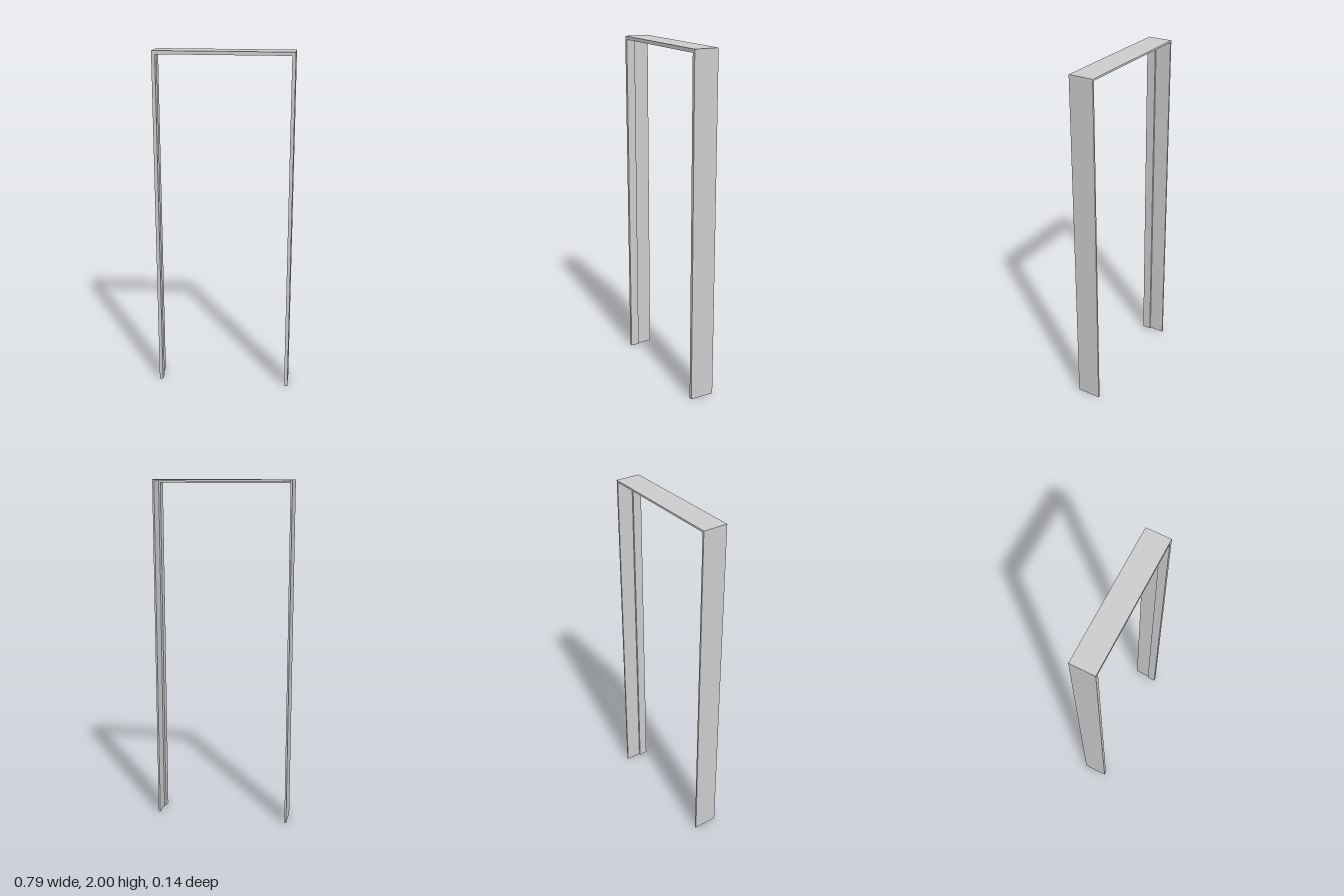
import * as THREE from 'three';

const HALF_W = 0.395, HEIGHT = 2, HALF_D = 0.071;
const THICK = 0.02, THIN = 0.01, STEP_Z = 0.02;

// Rebated lining section as [inset from the outer edge, z]
const SECTION = [
  [0, -HALF_D], [0, HALF_D], [THICK, HALF_D],
  [THICK, STEP_Z], [THIN, STEP_Z], [THIN, -HALF_D],
];

// Path stations: left foot, two mitred corners, right foot
const STATIONS = [
  d => [-HALF_W + d, 0],
  d => [-HALF_W + d, HEIGHT - d],
  d => [HALF_W - d, HEIGHT - d],
  d => [HALF_W - d, 0],
];

// One length of lining between two stations, with optional foot caps
function liningGeometry(s) {
  const pos = [];
  const n = SECTION.length;
  const put = (station, i) => {
    const [d, z] = SECTION[i % n];
    pos.push(...STATIONS[station](d), z);
  };
  for (let i = 0; i < n; i++) {
    put(s, i); put(s, i + 1); put(s + 1, i + 1);
    put(s, i); put(s + 1, i + 1); put(s + 1, i);
  }
  // Feet are fanned from the inner corner of the rebate
  const fan = [[4, 5, 0], [4, 0, 1], [4, 1, 2], [4, 2, 3]];
  for (const [a, b, c] of fan) {
    if (s === 0) { put(0, a); put(0, c); put(0, b); }
    if (s === 2) { put(3, a); put(3, b); put(3, c); }
  }
  const geo = new THREE.BufferGeometry();
  geo.setAttribute('position', new THREE.Float32BufferAttribute(pos, 3));
  geo.computeVertexNormals();
  return geo;
}

export function createModel() {
  const group = new THREE.Group();
  group.name = 'doorFrame';
  const material = new THREE.MeshStandardMaterial({ color: 0xcccccc, flatShading: true });
  ['rightJamb', 'headJamb', 'leftJamb'].forEach((name, s) => {
    const mesh = new THREE.Mesh(liningGeometry(s), material);
    mesh.name = name;
    group.add(mesh);
  });
  return group;
}
